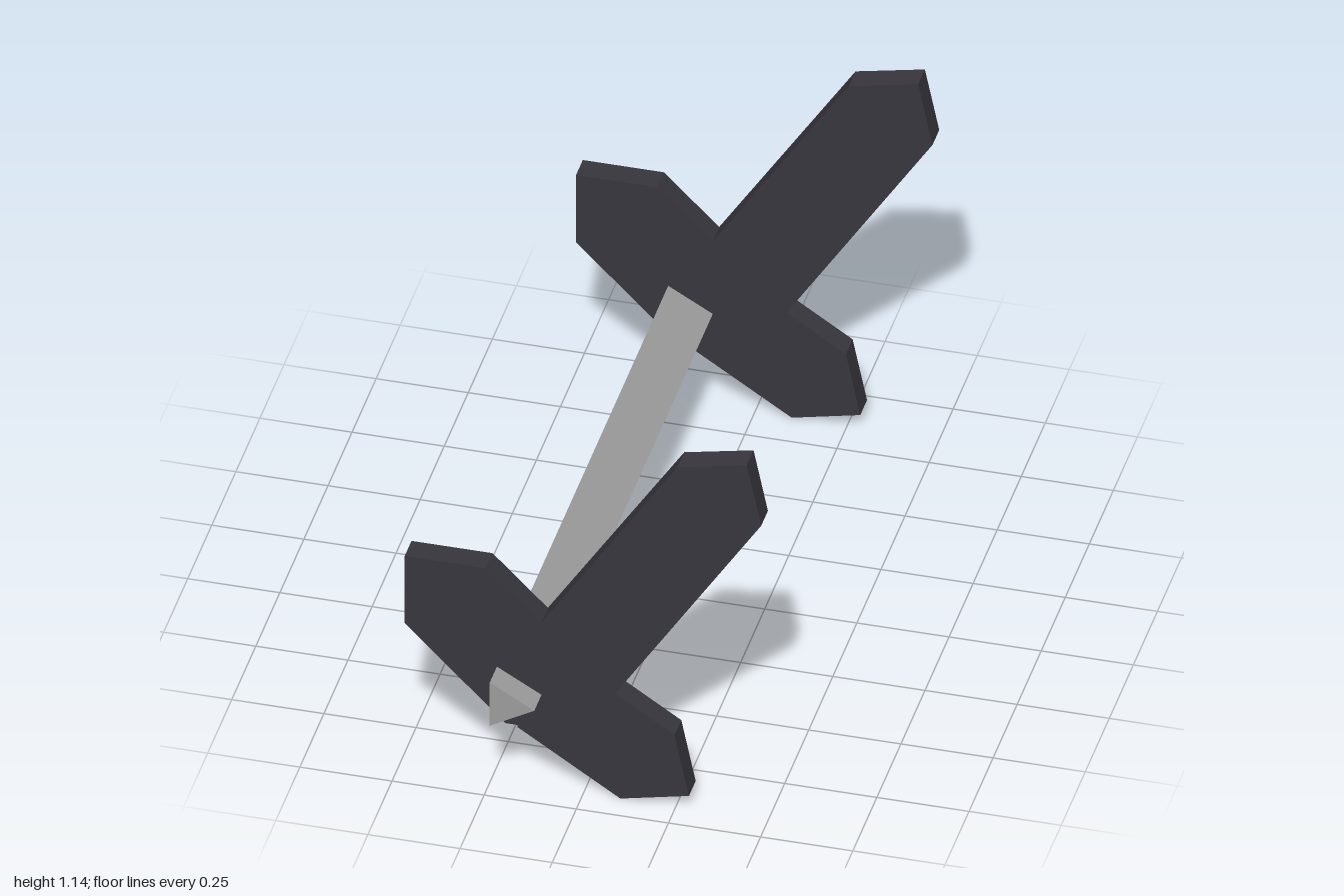
import * as THREE from 'three';

const plateMaterial = new THREE.MeshStandardMaterial({ color: 0x38363d });
plateMaterial.name = 'dark charcoal';
const rodMaterial = new THREE.MeshStandardMaterial({ color: 0x9c9c9c });
rodMaterial.name = 'grey metal';

// Extrude an outline along z, centred on z = 0
function prism(points, depth) {
  const shape = new THREE.Shape(points.map(([x, y]) => new THREE.Vector2(x, y)));
  const geometry = new THREE.ExtrudeGeometry(shape, { depth, bevelEnabled: false });
  return geometry.translate(0, 0, -depth / 2);
}

export function createModel() {
  const model = new THREE.Group();
  model.name = 'leverAxle';

  // Three-armed end plates: short left arm, short lower arm, long raised lever
  const plate = prism([
    [-0.485, 0.677], [-0.485, 0.46], [-0.212, 0.187], [-0.179, 0.187], [-0.179, 0.18],
    [0.1, 0], [0.286, 0.042], [0.247, 0.231], [0.086, 0.336],
    [0.482, 0.948], [0.443, 1.136], [0.255, 1.096], [-0.115, 0.528], [-0.265, 0.677],
  ], 0.07);
  for (const [name, z] of [['frontLeverPlate', 0.89], ['backLeverPlate', -0.89]]) {
    const mesh = new THREE.Mesh(plate, plateMaterial);
    mesh.name = name;
    mesh.position.z = z;
    model.add(mesh);
  }

  // Triangular rod joining the plates and poking out at both ends
  const rod = new THREE.Mesh(
    prism([[-0.235, 0.365], [-0.235, 0.226], [-0.114, 0.296]], 2), rodMaterial);
  rod.name = 'connectingRod';
  model.add(rod);

  return model;
}
